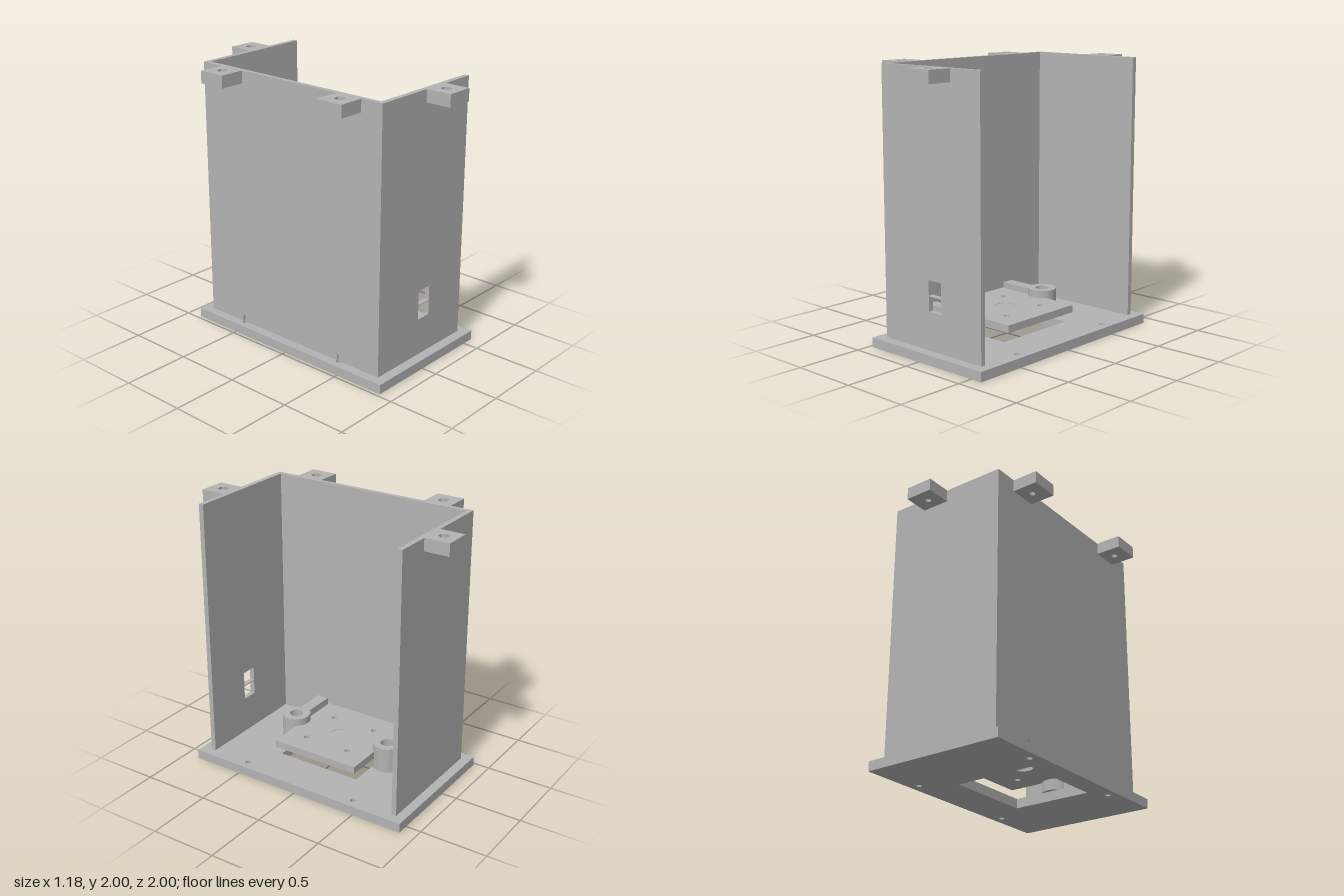
import * as THREE from 'three';
import { toCreasedNormals } from 'three/addons/utils/BufferGeometryUtils.js';

const grey = new THREE.MeshStandardMaterial({ color: 0xb3b3b3 });
grey.name = 'plain grey';

export function createModel() {
  const model = new THREE.Group();

  const add = (name, geometry, parent = model) => {
    const mesh = new THREE.Mesh(geometry, grey);
    mesh.name = name;
    parent.add(mesh);
    return mesh;
  };

  // Box given by its limits
  const block = (name, x0, x1, y0, y1, z0, z1, parent) => {
    const g = new THREE.BoxGeometry(x1 - x0, y1 - y0, z1 - z0);
    g.translate((x0 + x1) / 2, (y0 + y1) / 2, (z0 + z1) / 2);
    return add(name, g, parent);
  };

  const rect = (a0, a1, b0, b1, Type = THREE.Shape) => new Type([
    new THREE.Vector2(a0, b0), new THREE.Vector2(a1, b0),
    new THREE.Vector2(a1, b1), new THREE.Vector2(a0, b1)]);

  // Round (or, with few sides, polygonal) hole at x, z
  const hole = (x, z, r, sides = 32) => {
    const points = [];
    for (let i = 0; i < sides; i++) {
      const a = (i / sides) * Math.PI * 2;
      points.push(new THREE.Vector2(x + r * Math.cos(a), -z + r * Math.sin(a)));
    }
    return new THREE.Path(points);
  };

  // Horizontal plate with holes, given by its limits
  const slab = (name, x0, x1, y0, y1, z0, z1, holes, parent) => {
    const shape = rect(x0, x1, -z1, -z0);
    shape.holes.push(...holes);
    const g = new THREE.ExtrudeGeometry(shape, { depth: y1 - y0, bevelEnabled: false });
    g.rotateX(-Math.PI / 2);
    g.translate(0, y0, 0);
    return add(name, toCreasedNormals(g, 0.6), parent);
  };

  // Base plate with a large opening and four screw holes
  slab('basePlate', -0.475, 0.59, 0, 0.07, -0.885, 0.885, [
    rect(-0.32, 0.28, -0.33, 0.33, THREE.Path),
    ...[-0.405, 0.52].flatMap((x) => [-0.465, 0.462].map((z) => hole(x, z, 0.022))),
  ]);

  // Long wall: plain inner layer, outer layer notched above the screw holes
  const middle = -0.3875;
  block('longWallInside', middle, -0.37, 0.07, 2, -0.81, 0.81);
  const outline = [[-0.81, 0.07]];
  for (const z of [-0.465, 0.462]) {
    outline.push([z - 0.022, 0.07], [z - 0.022, 0.12], [z + 0.022, 0.12], [z + 0.022, 0.07]);
  }
  outline.push([0.81, 0.07], [0.81, 2], [-0.81, 2]);
  const outer = new THREE.ExtrudeGeometry(
    new THREE.Shape(outline.map(([z, y]) => new THREE.Vector2(-z, y))),
    { depth: middle + 0.405, bevelEnabled: false });
  outer.rotateY(Math.PI / 2);
  outer.translate(-0.405, 0, 0);
  add('longWallOutside', outer);

  // Side walls; the front one has a window crossed by a thin bar
  block('rearWall', -0.405, 0.52, 0.07, 2, -0.815, -0.778);
  const front = rect(-0.405, 0.52, 0.07, 2);
  front.holes.push(rect(0.03, 0.15, 0.345, 0.565, THREE.Path));
  const frontGeometry = new THREE.ExtrudeGeometry(front, { depth: 0.037, bevelEnabled: false });
  frontGeometry.translate(0, 0, 0.773);
  add('frontWall', frontGeometry);
  block('windowBar', 0.03, 0.15, 0.451, 0.457, 0.773, 0.81);

  // Mounting tabs: screw hole below, hexagonal nut pocket above
  const tab = (x0, x1, z0, z1, cx, cz) => {
    const group = new THREE.Group();
    group.name = 'mountingTab';
    model.add(group);
    slab('tabFloor', x0, x1, 1.91, 1.96, z0, z1, [hole(cx, cz, 0.021)], group);
    slab('tabNutPocket', x0, x1, 1.96, 2, z0, z1, [hole(cx, cz, 0.04, 6)], group);
  };
  tab(0.05, 0.255, 0.81, 1, 0.15, 0.895);
  tab(0.05, 0.255, -1, -0.815, 0.15, -0.9);
  tab(-0.595, -0.405, -0.64, -0.432, -0.49, -0.537);
  tab(-0.595, -0.405, 0.43, 0.637, -0.49, 0.532);

  // Raised shelf with four screw holes and a shallow round recess
  const screws = [-0.193, 0.167].flatMap((x) => [-0.18, 0.18].map((z) => hole(x, z, 0.022)));
  slab('shelf', -0.37, 0.335, 0.15, 0.205, -0.35, 0.345, [hole(-0.015, 0, 0.072, 48), ...screws]);
  const web = new THREE.CylinderGeometry(0.072, 0.072, 0.008, 48);
  web.translate(-0.015, 0.198, 0);
  add('shelfRecess', web);

  // Hollow posts, each tied to the long wall by an arm
  const profile = [[0, 0.07], [0.105, 0.07], [0.105, 0.26], [0.05, 0.26], [0.05, 0.085], [0, 0.085]]
    .map(([r, y]) => new THREE.Vector2(r, y));
  for (const z of [-0.41, 0.405]) {
    const post = toCreasedNormals(new THREE.LatheGeometry(profile, 48), 0.6);
    post.translate(-0.015, 0, z);
    add('post', post);
    block('postArm', -0.37, -0.105, 0.07, 0.245, z - 0.045, z + 0.045);
  }

  return model;
}
